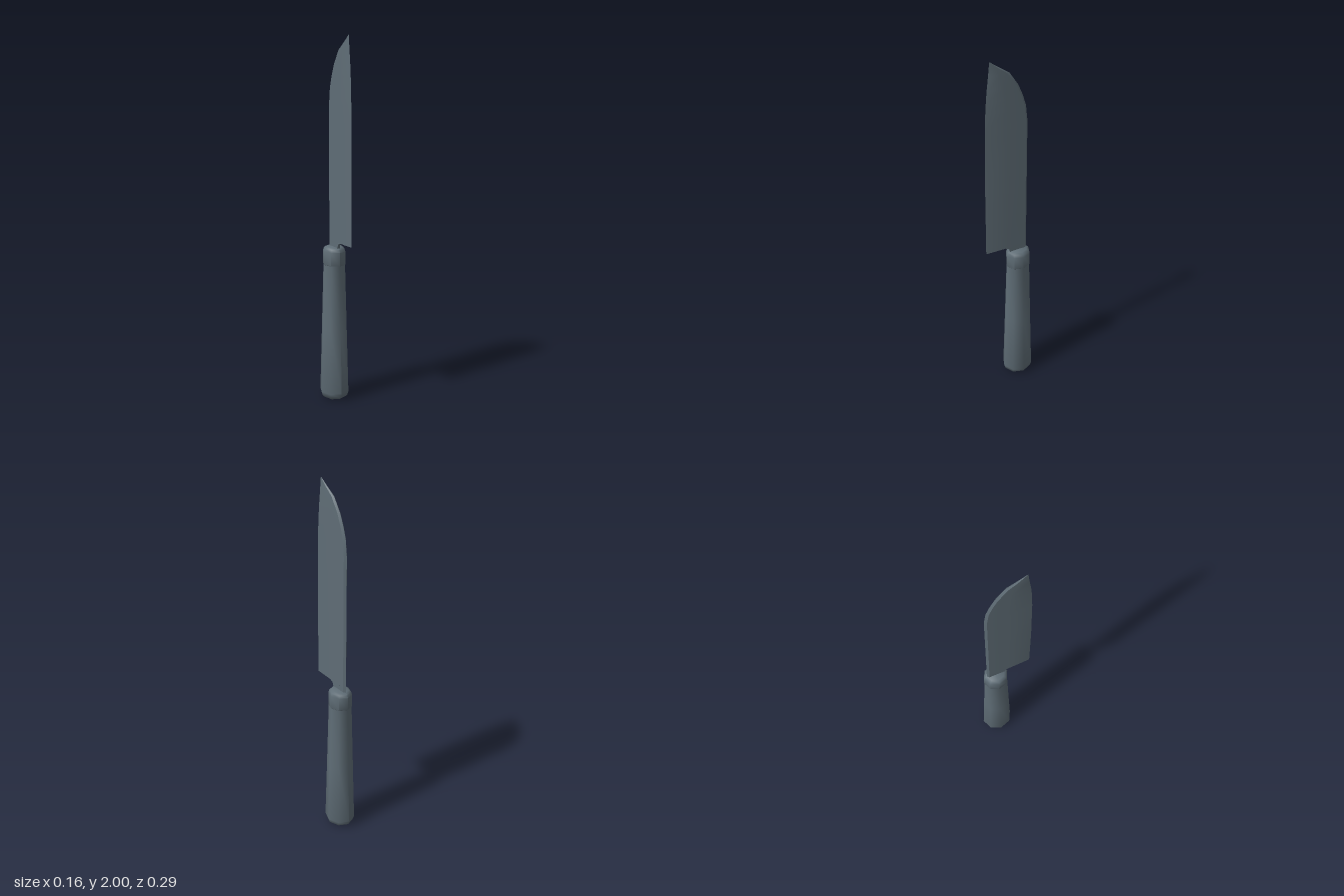
import * as THREE from 'three';
import { toCreasedNormals } from 'three/addons/utils/BufferGeometryUtils.js';

const steel = new THREE.MeshStandardMaterial({ color: 0x5f6d76, side: THREE.DoubleSide });

// Eight-sided turned part, slightly deeper than wide; profile holds [radius, y]
function turned(name, profile) {
  const geo = new THREE.LatheGeometry(profile.map(([r, y]) => new THREE.Vector2(r, y)), 8);
  geo.scale(1, 1, 1.12);
  geo.translate(0, 0, -0.054);
  const mesh = new THREE.Mesh(toCreasedNormals(geo, 0.9), steel);
  mesh.name = name;
  return mesh;
}

// Blade lofted from wedge cross-sections: [y, spine z, edge z, half thickness, half edge thickness]
function bladeGeometry() {
  const sections = [
    [0.84, -0.105, 0.0, 0.01, 0.007],
    [0.87, -0.105, 0.0, 0.01, 0.007],
    [0.89, -0.105, 0.006, 0.01, 0.007],
    [0.9, -0.105, 0.03, 0.01, 0.006],
    [0.901, -0.105, 0.145, 0.01, 0.0005],
    [1.3, -0.105, 0.145, 0.01, 0.0005],
    [1.57, -0.105, 0.141, 0.01, 0.0005],
    [1.64, -0.105, 0.14, 0.01, 0.0005],
    [1.73, -0.095, 0.137, 0.0098, 0.0005],
    [1.79, -0.076, 0.133, 0.0095, 0.0005],
    [1.85, -0.05, 0.128, 0.009, 0.0005],
    [1.925, 0.0, 0.119, 0.0078, 0.0005],
    [1.96, 0.052, 0.115, 0.005, 0.0005],
    [2.0, 0.108, 0.111, 0.0005, 0.0002],
  ];
  const pos = [], index = [], n = 8;
  for (const [y, z0, z1, w, e] of sections) {
    const d = z1 - z0;
    const half = [
      [w, z0 + Math.min(0.012, d * 0.15)],
      [Math.max(w * 0.85, e), z0 + d * 0.47],
      [e, z1 - d * 0.01],
    ];
    const ring = [[0, z0], ...half, [0, z1], ...half.map(([x, z]) => [-x, z]).reverse()];
    for (const [x, z] of ring) pos.push(x, y, z);
  }
  for (let s = 0; s < sections.length - 1; s++) {
    for (let i = 0; i < n; i++) {
      const a = s * n + i, b = s * n + (i + 1) % n;
      index.push(a, a + n, b, b, a + n, b + n);
    }
  }
  const geo = new THREE.BufferGeometry();
  geo.setAttribute('position', new THREE.Float32BufferAttribute(pos, 3));
  geo.setIndex(index);
  return toCreasedNormals(geo, 0.45);
}

export function createModel() {
  const knife = new THREE.Group();
  knife.name = 'kitchenKnife';

  // Tapered grip with rounded butt
  knife.add(turned('handle', [
    [0, 0], [0.055, 0.003], [0.072, 0.016], [0.08, 0.04], [0.07, 0.4], [0.06, 0.77], [0, 0.77],
  ]));

  // Collar where the blade enters the grip
  knife.add(turned('ferrule', [
    [0.056, 0.765], [0.062, 0.772], [0.062, 0.845], [0.057, 0.861], [0.045, 0.87], [0, 0.871],
  ]));

  const blade = new THREE.Mesh(bladeGeometry(), steel);
  blade.name = 'blade';
  knife.add(blade);

  return knife;
}
